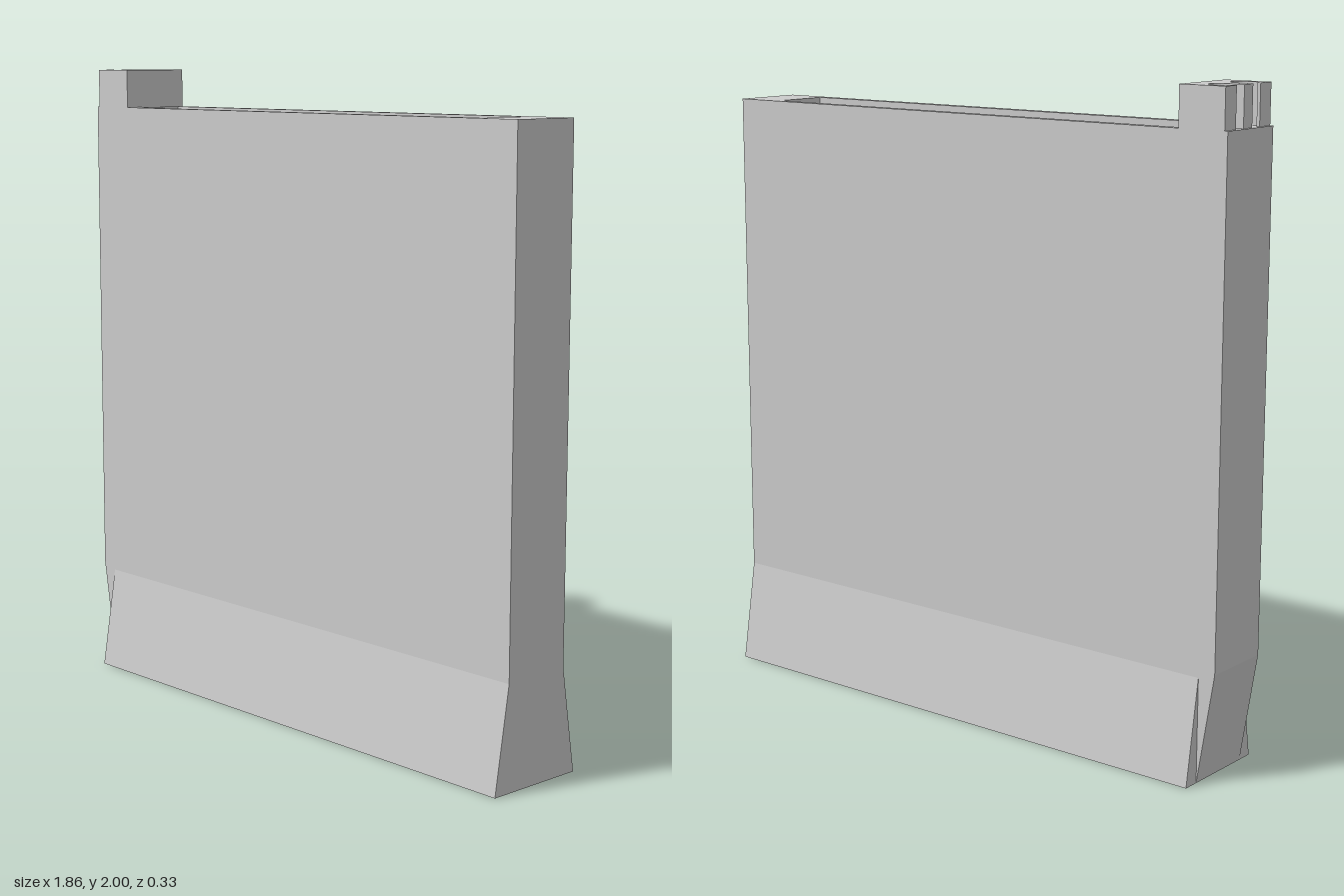
import * as THREE from 'three';
import { mergeGeometries } from 'three/addons/utils/BufferGeometryUtils.js';

const D = 0.115;      // half thickness of the body
const FOOT = 0.167;   // half thickness at the base
const TOP = 1.88;     // body height
const L = -0.93, R = 0.925, FOOT_L = -0.875;
const CAV = 0.088;    // half thickness of the cavity

const vectors = pts => pts.map(([x, y]) => new THREE.Vector2(x, y));

// Wall swept along z from a to b; faces outward for a counter-clockwise path
function band(pts, a, b) {
  const pos = [];
  for (let i = 0; i < pts.length - 1; i++) {
    const [x0, y0] = pts[i], [x1, y1] = pts[i + 1];
    pos.push(x0, y0, a, x1, y1, a, x1, y1, b, x0, y0, a, x1, y1, b, x0, y0, b);
  }
  const g = new THREE.BufferGeometry();
  g.setAttribute('position', new THREE.Float32BufferAttribute(pos, 3));
  g.computeVertexNormals();
  return g;
}

// Flat face at depth z, facing +z or (flipped) -z
function cap(pts, z, flip = false, hole = null) {
  const shape = new THREE.Shape(vectors(flip ? pts.map(([x, y]) => [-x, y]) : pts));
  if (hole) shape.holes.push(new THREE.Path(vectors(hole)));
  const g = new THREE.ShapeGeometry(shape).toNonIndexed();
  g.deleteAttribute('uv');
  if (flip) g.rotateY(Math.PI);
  return g.translate(0, 0, z);
}

function arc(cx, cy, r, from, to, n) {
  return Array.from({ length: n + 1 }, (_, i) => {
    const a = THREE.MathUtils.degToRad(from + (to - from) * i / n);
    return [cx + r * Math.cos(a), cy + r * Math.sin(a)];
  });
}

const rect = (x0, x1, h) => [[x0, -h], [x1, -h], [x1, h], [x0, h]];

export function createModel() {
  const model = new THREE.Group();
  const material = new THREE.MeshStandardMaterial({ color: 0xcccccc, flatShading: true });
  const add = (name, parts) => {
    const mesh = new THREE.Mesh(mergeGeometries(parts), material);
    mesh.name = name;
    model.add(mesh);
    return mesh;
  };

  // Slab body with one tapered lower end and an opening on top
  const c0 = -0.76, c1 = 0.775;
  const face = [[L, TOP], [L, 0.34], [FOOT_L, 0], [FOOT_L, 0.32], [R, 0.32], [R, TOP]];
  add('body', [
    cap(face, D), cap(face, -D, true),
    band([[L, TOP], [L, 0.34], [FOOT_L, 0]], -D, D),
    band([[R, 0.32], [R, TOP]], -D, D),
    cap(rect(L, R, D), TOP, false, rect(c0, c1, CAV)).rotateX(-Math.PI / 2),
  ]);

  // Cavity with a floor of two arcs meeting in a point
  const r = c1 - c0, spring = 1.48;
  const cavity = [
    [c1, TOP],
    ...arc(c0, spring, r, 0, -60, 20),
    ...arc(c1, spring, r, -120, -180, 20).slice(1),
    [c0, TOP],
  ];
  add('cavity', [band(cavity, -CAV, CAV), cap(cavity, CAV, true), cap(cavity, -CAV)]);

  // Flared foot, swept along x
  const foot = [[-D, 0.32], [-FOOT, 0], [FOOT, 0], [D, 0.32]];
  const parts = [band(foot, FOOT_L, R), cap(foot, R)];
  for (const s of [-1, 1]) {
    parts.push(cap([[s * D, 0.32], [s * FOOT, 0], [s * D, 0]], FOOT_L, true));
  }
  add('flaredFoot', parts).geometry.rotateY(Math.PI / 2);

  // Raised corner block with two mirrored hooked slots
  const b0 = -0.92, b1 = -0.77;
  const slot = [
    [b0, 0.06], [-0.91, 0.06], [-0.893, 0.088],
    ...arc(-0.863, 0.055, 0.033, 90, -90, 12),
    [b0, 0.022],
  ];
  const outline = [
    [b1, -D], [b1, D], [b0, D],
    ...slot,
    ...slot.map(([x, v]) => [x, -v]).reverse(),
    [b0, -D],
  ];
  add('slottedBlock', [band([...outline, outline[0]], TOP, 2), cap(outline, 2)])
    .geometry.rotateX(-Math.PI / 2);

  return model;
}
